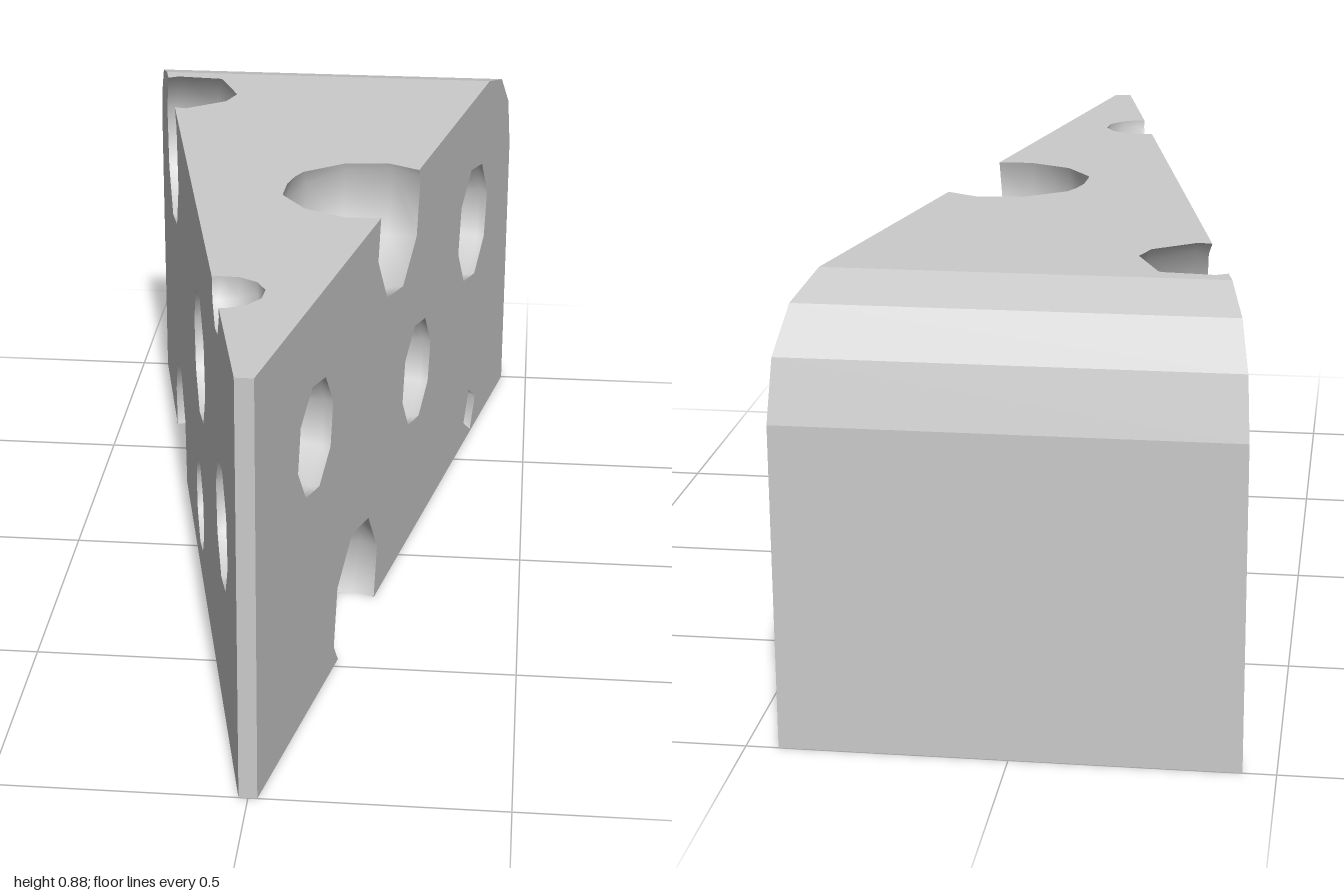
import * as THREE from 'three';

const material = new THREE.MeshStandardMaterial({ color: 0xcccccc });

// side outline of the wedge as [z, y], and its half width along z
const profile = [[1, 0.01], [-1, 0.01], [-1, 0.65], [-0.97, 0.77], [-0.89, 0.85], [-0.76, 0.885], [1, 0.885]];
const halfWidth = z => 0.018 + (1 - z) * 0.2095;
const corner = ([z, y], side) => new THREE.Vector3(side * halfWidth(z), y, z);

// holes as [side, z, y, opening radius, depth of centre below the wall, sides]
const holes = [
  [1, 0.63, 0.597, 0.122, 0.02, 8],
  [1, -0.13, 0.405, 0.125, 0.02, 8],
  [1, -0.63, 0.575, 0.147, 0.02, 8],
  [1, 0.035, 0.83, 0.175, 0.07, 8],
  [1, 0.34, 0.09, 0.172, 0.04, 8],
  [1, -0.65, 0.075, 0.062, 0.01, 4],
  [-1, -0.6, 0.75, 0.19, 0.025, 8],
  [-1, 0.17, 0.555, 0.148, 0.02, 8],
  [-1, 0.69, 0.43, 0.135, 0.02, 8],
  [-1, 0.61, 0.885, 0.085, 0.01, 8],
  [-1, 0.115, 0.175, 0.107, 0.02, 8],
  [-1, -0.485, 0.065, 0.177, 0.03, 8],
];

// keep the part of a polygon behind a plane
function clip(poly, plane) {
  const out = [];
  poly.forEach((a, i) => {
    const b = poly[(i + 1) % poly.length];
    const da = plane.distanceToPoint(a), db = plane.distanceToPoint(b);
    if (da <= 0) out.push(a);
    if ((da < 0 && db > 0) || (da > 0 && db < 0)) out.push(a.clone().lerp(b, da / (da - db)));
  });
  return out;
}

const planeOf = c => new THREE.Plane().setFromCoplanarPoints(c[0], c[1], c[2]);

// hollow bowl: a low-poly ball turned inside out and trimmed to the wedge
function makeHole([side, z, y, r, depth, sides], planes) {
  const wall = planes[side];
  const centre = corner([z, y], side).addScaledVector(wall.normal, -depth);
  const ball = new THREE.SphereGeometry(Math.hypot(r, depth) * 1.01, sides, sides === 4 ? 4 : 6).toNonIndexed();
  ball.applyQuaternion(new THREE.Quaternion().setFromUnitVectors(new THREE.Vector3(0, 1, 0), wall.normal));
  ball.translate(centre.x, centre.y, centre.z);
  const p = ball.attributes.position, points = [], tris = [];
  for (let i = 0; i < p.count; i += 3) {
    let poly = [0, 1, 2].map(k => new THREE.Vector3().fromBufferAttribute(p, i + k));
    for (const plane of [wall, planes.top, planes.bottom]) poly = clip(poly, plane);
    points.push(...(poly.length > 2 ? poly : []));
    for (let k = 1; k + 1 < poly.length; k++) tris.push(poly[0], poly[k + 1], poly[k]);
  }
  const geometry = new THREE.BufferGeometry().setFromPoints(tris);
  const normals = tris.flatMap(v => centre.clone().sub(v).normalize().toArray());
  geometry.setAttribute('normal', new THREE.Float32BufferAttribute(normals, 3));
  return { geometry, points };
}

// flat face with the openings of the holes cut out, inside it or from its edges
function makeFace(corners, dents) {
  const plane = planeOf(corners);
  const u = corners[1].clone().sub(corners[0]).normalize();
  const v = plane.normal.clone().cross(u);
  const flat = p => {
    const d = p.clone().sub(corners[0]);
    return new THREE.Vector2(d.dot(u), d.dot(v));
  };
  const outline = corners.map(flat);
  const edges = outline.map((a, i) => {
    const dir = outline[(i + 1) % outline.length].clone().sub(a).normalize();
    return { a, dir, out: new THREE.Vector2(dir.y, -dir.x), notches: [] };
  });
  const inner = [];
  for (const dent of dents) {
    const pts = [];
    for (const p of dent.points) {
      if (Math.abs(plane.distanceToPoint(p)) > 1e-5) continue;
      const q = flat(p);
      if (!pts.some(o => o.distanceTo(q) < 1e-4)) pts.push(q);
    }
    if (pts.length < 3) continue;
    const mid = pts.reduce((s, q) => s.add(q), new THREE.Vector2()).divideScalar(pts.length);
    const edge = edges.find(e => pts.filter(q => Math.abs(q.clone().sub(e.a).dot(e.out)) < 1e-5).length > 1);
    const from = edge ? edge.out.angle() : 0;
    const turn = q => (q.clone().sub(mid).angle() - from + 4 * Math.PI) % (2 * Math.PI);
    pts.sort((a, b) => turn(b) - turn(a));
    if (edge) edge.notches.push({ at: mid.sub(edge.a).dot(edge.dir), pts });
    else inner.push(new THREE.Path(pts));
  }
  const contour = edges.flatMap(e =>
    [e.a, ...e.notches.sort((m, n) => m.at - n.at).flatMap(n => n.pts)]);
  const shape = new THREE.Shape(contour);
  shape.holes = inner;
  const place = new THREE.Matrix4().makeBasis(u, v, plane.normal).setPosition(corners[0]);
  return new THREE.ShapeGeometry(shape).applyMatrix4(place);
}

export function createModel() {
  const group = new THREE.Group();
  group.name = 'cheeseWedge';
  const add = (name, geometry) => {
    const mesh = new THREE.Mesh(geometry, material);
    mesh.name = name;
    group.add(mesh);
  };

  // corner loops of every face, counter-clockwise from outside
  const faces = {
    leftWall: profile.map(p => corner(p, 1)),
    rightWall: profile.map(p => corner(p, -1)).reverse(),
  };
  const names = ['bottom', 'rind', 'rindBevelLow', 'rindBevelMiddle', 'rindBevelHigh', 'top', 'tip'];
  names.forEach((name, i) => {
    const a = profile[i], b = profile[(i + 1) % profile.length];
    faces[name] = [corner(a, -1), corner(b, -1), corner(b, 1), corner(a, 1)];
  });

  // holes first, since they shape the openings in the faces
  const planes = {
    1: planeOf(faces.leftWall), '-1': planeOf(faces.rightWall),
    top: planeOf(faces.top), bottom: planeOf(faces.bottom),
  };
  const dents = holes.map(h => makeHole(h, planes));
  dents.forEach((d, i) => add(`hole${i + 1}`, d.geometry));
  for (const [name, corners] of Object.entries(faces)) add(name, makeFace(corners, dents));
  return group;
}
